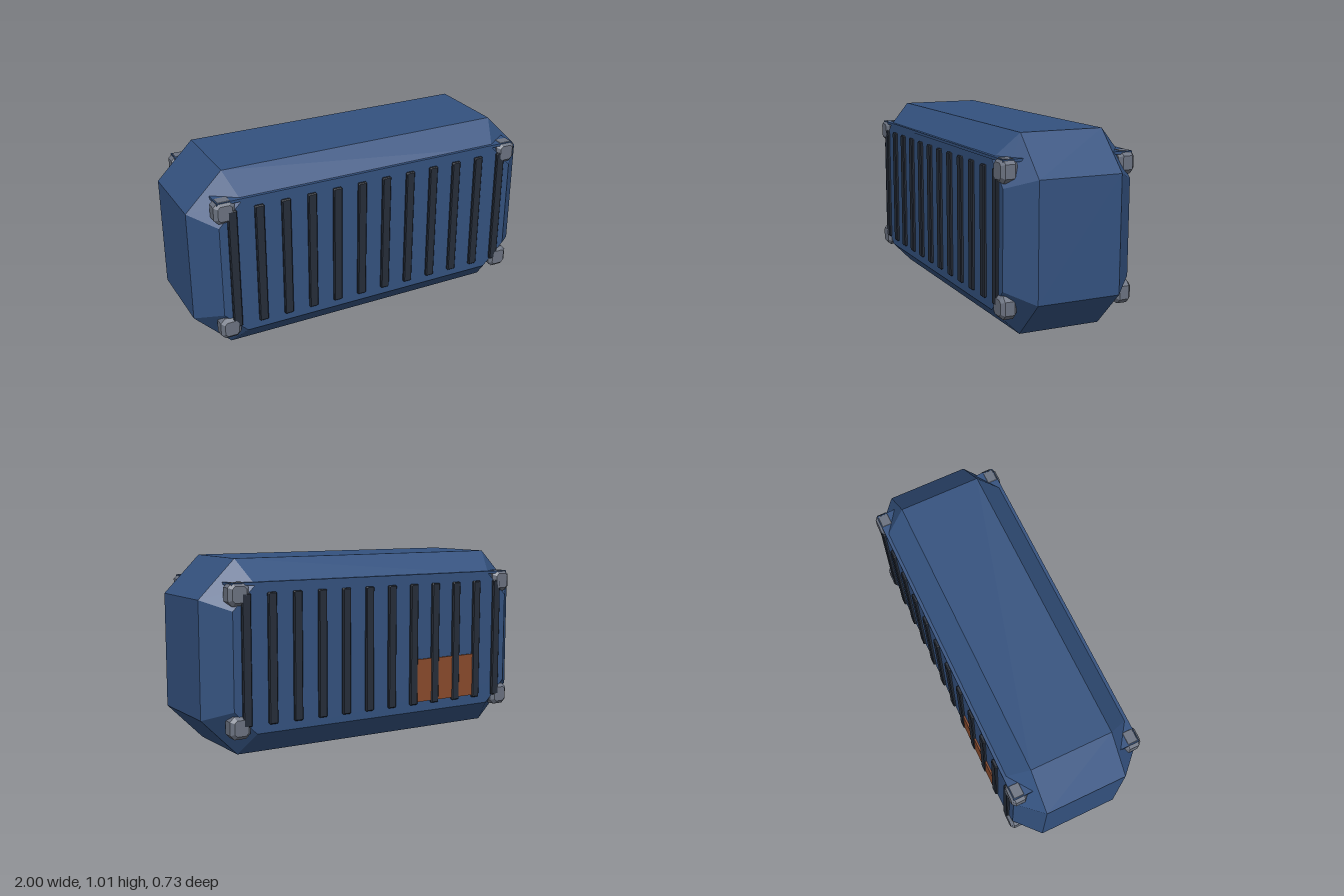
import * as THREE from 'three';

const paint = (color, side = THREE.FrontSide) =>
  new THREE.MeshStandardMaterial({ color, side });

// Block with cut corners in the xy outline and one flat chamfer towards both z ends
function chamferedBlock(w, h, d, cut, bevel) {
  const x = w / 2, y = h / 2;
  const outline = new THREE.Shape([
    [x - cut, -y], [x, -y + cut], [x, y - cut], [x - cut, y],
    [-x + cut, y], [-x, y - cut], [-x, -y + cut], [-x + cut, -y],
  ].map(([a, b]) => new THREE.Vector2(a, b)));
  const geometry = new THREE.ExtrudeGeometry(outline, {
    depth: d - 2 * bevel,
    bevelEnabled: true,
    bevelThickness: bevel,
    bevelSize: bevel,
    bevelOffset: -bevel,
    bevelSegments: 1,
  });
  return geometry.translate(0, 0, -d / 2 + bevel);
}

export function createModel() {
  const model = new THREE.Group();
  model.name = 'cargoContainer';

  const blue = paint(0x34527f);
  const dark = paint(0x262d39);
  const grey = paint(0x6b7280);
  const rust = paint(0x8a4b2c);

  const add = (name, geometry, material, x, y, z) => {
    const mesh = new THREE.Mesh(geometry, material);
    mesh.name = name;
    mesh.position.set(x, y, z);
    model.add(mesh);
  };

  // Main hull
  add('hull', chamferedBlock(2, 1.01, 0.704, 0.2, 0.127), blue, 0, 0.505, 0);

  // Thin ledge showing along the upper edge of both long sides
  add('topLedge', new THREE.BoxGeometry(1.76, 0.015, 0.71), blue, 0, 0.89, 0);

  // Vertical ribs on both long sides
  const rib = chamferedBlock(0.05, 0.675, 0.036, 0.005, 0.005);
  for (const side of [1, -1]) {
    for (let i = 0; i < 12; i++) {
      add('rib', rib, dark, -0.803 + i * 0.146, 0.508, side * 0.349);
    }
  }

  // Corner fittings
  const fitting = chamferedBlock(0.113, 0.118, 0.088, 0.024, 0.018);
  for (const x of [-0.84, 0.84]) {
    for (const y of [0.17, 0.84]) {
      for (const z of [-0.323, 0.323]) add('cornerFitting', fitting, grey, x, y, z);
    }
  }

  // Rusty patch between the ribs on the back
  add('rustPatch', new THREE.BoxGeometry(0.44, 0.24, 0.014), rust, -0.44, 0.305, -0.355);

  return model;
}
